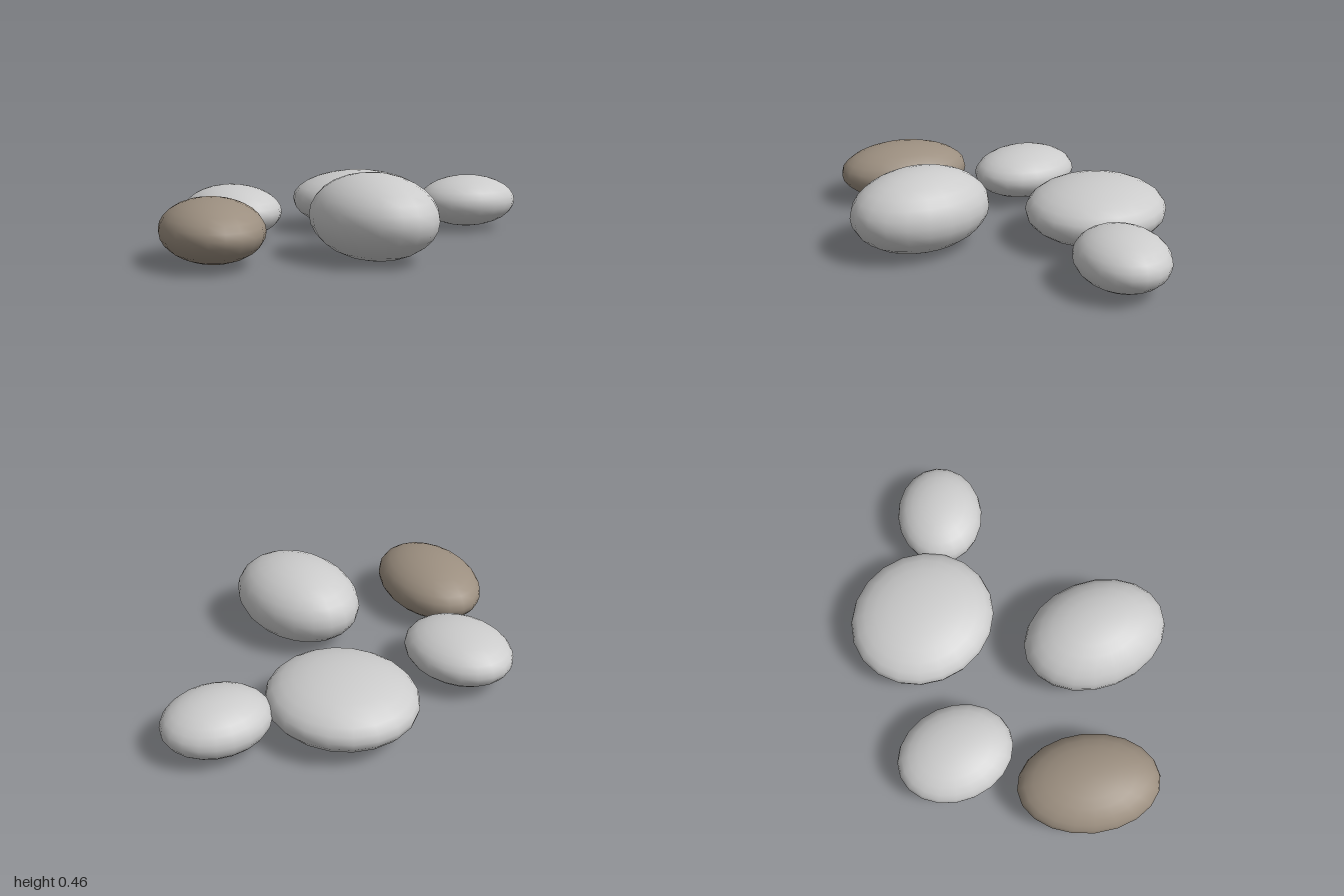
import * as THREE from 'three';

// Each stone: centre x/z, bottom and top height, half-axes a/b, turn about y
const STONES = [
  { name: 'backLargeStone', x: 0.035, z: -0.547, y0: 0.01, y1: 0.36, a: 0.417, b: 0.387, turn: -0.7 },
  { name: 'backLeftStone', x: 0.7, z: -0.6, y0: 0.015, y1: 0.325, a: 0.299, b: 0.247, turn: 0.29 },
  { name: 'backRightStone', x: -0.695, z: -0.19, y0: 0.015, y1: 0.315, a: 0.327, b: 0.267, turn: -0.94 },
  { name: 'frontTallStone', x: 0.12, z: 0.433, y0: 0, y1: 0.46, a: 0.412, b: 0.31, turn: -0.98 },
  { name: 'frontBrownStone', x: -0.713, z: 0.557, y0: 0.01, y1: 0.345, a: 0.392, b: 0.274, turn: -1.26, color: 0x9c8f80 },
];

export function createModel() {
  const group = new THREE.Group();
  group.name = 'steppingStones';
  const grey = new THREE.MeshStandardMaterial({ color: 0xcccccc });

  // Flattened, smooth-shaded pebbles
  for (const s of STONES) {
    const height = (s.y1 - s.y0) / 2;
    const geometry = new THREE.SphereGeometry(1, 20, 14).scale(s.a, height, s.b);
    const material = s.color ? new THREE.MeshStandardMaterial({ color: s.color }) : grey;
    const stone = new THREE.Mesh(geometry, material);
    stone.name = s.name;
    stone.position.set(s.x, s.y0 + height, s.z);
    stone.rotation.y = s.turn;
    group.add(stone);
  }
  return group;
}
